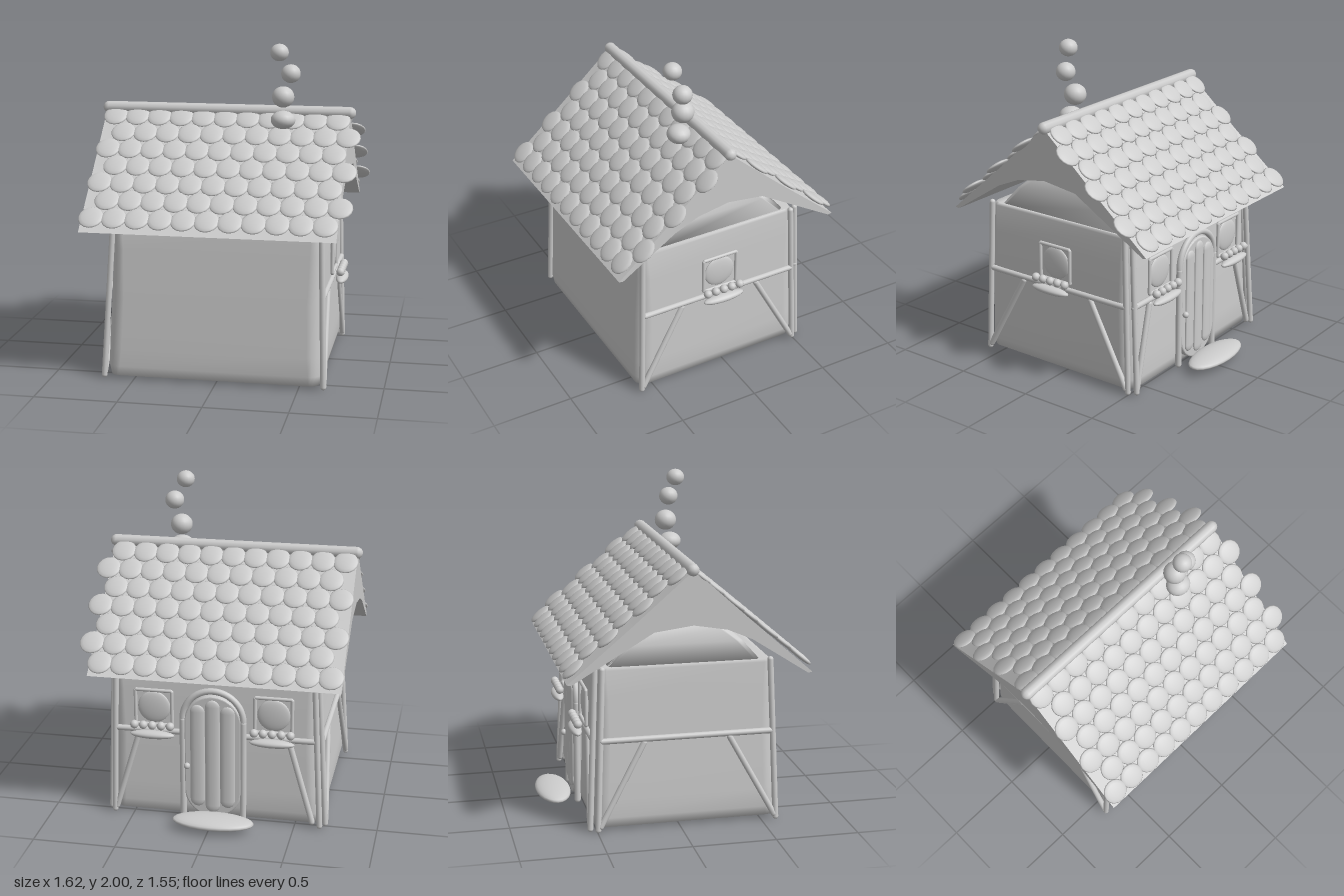
import * as THREE from 'three';

const clay = new THREE.MeshStandardMaterial({ color: 0xcccccc });
clay.name = 'clay grey';

const V = (x, y, z) => new THREE.Vector3(x, y, z);

function add(parent, geometry, name) {
  const mesh = new THREE.Mesh(geometry, clay);
  mesh.name = name;
  parent.add(mesh);
  return mesh;
}

// Round-ended stick between two points
function rod(parent, name, a, b, r = 0.018) {
  const p = V(...a), q = V(...b), d = q.clone().sub(p);
  const mesh = add(parent, new THREE.CapsuleGeometry(r, Math.max(d.length() - r, 0.01), 4, 10), name);
  mesh.position.copy(p).add(q).multiplyScalar(0.5);
  mesh.quaternion.setFromUnitVectors(V(0, 1, 0), d.normalize());
  return mesh;
}

// Sphere stretched to the given radii
function blob(parent, name, pos, radii, w = 18, h = 12) {
  const mesh = add(parent, new THREE.SphereGeometry(1, w, h), name);
  mesh.position.set(...pos);
  mesh.scale.set(...radii);
  return mesh;
}

// Smooth skin through rounded-rectangle sections [y, cx, cz, hx, hz, r]
function loft(sections) {
  const per = 6, n = per * 4, pos = [], index = [];
  const corners = [[1, 1], [-1, 1], [-1, -1], [1, -1]];
  for (const [y, cx, cz, hx, hz, r] of sections) {
    corners.forEach(([sx, sz], c) => {
      for (let i = 0; i < per; i++) {
        const a = (c + i / (per - 1)) * Math.PI / 2;
        pos.push(cx + sx * (hx - r) + r * Math.cos(a), y, cz + sz * (hz - r) + r * Math.sin(a));
      }
    });
  }
  for (let s = 0; s < sections.length - 1; s++) {
    for (let i = 0; i < n; i++) {
      const a = s * n + i, b = s * n + (i + 1) % n;
      index.push(a, a + n, b, b, a + n, b + n);
    }
  }
  // End caps
  const last = (sections.length - 1) * n;
  for (let i = 1; i < n - 1; i++) {
    index.push(0, i, i + 1, last, last + i + 1, last + i);
  }
  const g = new THREE.BufferGeometry();
  g.setAttribute('position', new THREE.Float32BufferAttribute(pos, 3));
  g.setIndex(index);
  g.computeVertexNormals();
  return g;
}

// Framed round window with a flower box, facing +z
function windowBox() {
  const g = new THREE.Group();
  g.name = 'window';
  const w = 0.112, b = 0.6, t = 0.82;
  for (const s of [-1, 1]) rod(g, 'windowFrameSide', [s * w, b, 0.005], [s * w, t, 0.005], 0.011);
  for (const y of [b, t]) rod(g, 'windowFrameRail', [-w, y, 0.005], [w, y, 0.005], 0.011);
  blob(g, 'windowPane', [0, 0.71, -0.005], [0.1, 0.1, 0.018], 24, 12);
  for (let i = -2; i <= 2; i++) blob(g, 'flower', [i * 0.055, 0.612, 0.055], [0.026, 0.026, 0.026], 12, 8);
  blob(g, 'flowerBox', [0, 0.553, 0.056], [0.138, 0.025, 0.037]);
  return g;
}

export function createModel() {
  const model = new THREE.Group();
  model.name = 'cottage';

  // Walls: soft box, narrower at the top
  add(model, loft([
    [0.012, -0.015, 0.045, 0.585, 0.5, 0.05],
    [0.02, -0.015, 0.045, 0.635, 0.55, 0.06],
    [0.08, -0.015, 0.045, 0.65, 0.562, 0.08],
    [0.2, -0.012, 0.045, 0.65, 0.56, 0.09],
    [0.5, -0.006, 0.045, 0.64, 0.55, 0.09],
    [0.8, 0, 0.045, 0.628, 0.535, 0.07],
    [0.97, 0, 0.045, 0.62, 0.525, 0.05],
    [0.985, 0, 0.045, 0.61, 0.515, 0.05],
  ]), 'walls');

  // Attic rising under the roof
  add(model, loft([
    [0.97, 0, 0.04, 0.6, 0.47, 0.03],
    [1.1, 0, 0.045, 0.59, 0.35, 0.04],
    [1.18, 0, 0.05, 0.57, 0.25, 0.05],
    [1.23, 0, 0.05, 0.53, 0.15, 0.05],
    [1.26, 0, 0.05, 0.46, 0.06, 0.04],
  ]), 'attic');

  // Roof: peaked outside, arched underneath; profile in (z, y)
  const profile = [[0.05, 1.575], [-0.3, 1.27], [-0.685, 0.945], [-0.66, 0.94], [-0.39, 1.1], [-0.18, 1.225],
    [0.05, 1.255], [0.25, 1.22], [0.4, 1.155], [0.74, 0.935], [0.765, 0.94], [0.4, 1.26]];
  const roof = new THREE.ExtrudeGeometry(
    new THREE.Shape(profile.map(([z, y]) => new THREE.Vector2(z, y))),
    { depth: 1.51, bevelEnabled: false });
  roof.rotateY(-Math.PI / 2).translate(0.73, 0, 0);
  add(model, roof, 'roof');
  rod(model, 'ridgeRoll', [-0.79, 1.575, 0.045], [0.745, 1.575, 0.045], 0.037);

  // Scale tiles, seven staggered rows on each slope
  const slopes = [[0.1, 0.71], [-0.03, -0.64]];
  slopes.forEach(([zTop, zEave]) => {
    const side = Math.sign(zEave);
    for (let row = 0; row < 7; row++) {
      const t = row / 6, z = zTop + (zEave - zTop) * t, y = 1.532 - 0.512 * t;
      for (let i = 0; i < 11; i++) {
        const x = -0.715 + (row % 2) * 0.072 + i * 0.1375;
        const tile = blob(model, 'roofTile', [x, y, z], [0.076, 0.017, 0.077], 16, 8);
        tile.rotation.x = side * 0.69;
      }
    }
  });

  // Smoke puffs above the roof
  blob(model, 'smokePuff', [0.335, 1.54, 0.16], [0.075, 0.055, 0.07]);
  blob(model, 'smokePuff', [0.33, 1.675, 0.13], [0.068, 0.064, 0.068]);
  blob(model, 'smokePuff', [0.38, 1.82, 0.16], [0.059, 0.056, 0.059]);
  blob(model, 'smokePuff', [0.315, 1.948, 0.19], [0.056, 0.052, 0.056]);

  // Timber frame, mirrored on both side walls
  for (const s of [-1, 1]) {
    const foot = s > 0 ? 0.648 : 0.685, top = 0.622, mid = (foot + top) / 2;
    rod(model, 'frontCornerPost', [s * foot, 0.01, 0.588], [s * top, 0.995, 0.555]);
    rod(model, 'backCornerPost', [s * foot, 0.01, -0.497], [s * top, 0.985, -0.455]);
    rod(model, 'backWallPost', [s * (foot - 0.03), 0.01, -0.54], [s * (top - 0.02), 0.985, -0.495]);
    rod(model, 'sideBeam', [s * mid, 0.555, 0.56], [s * mid, 0.555, -0.475]);
    rod(model, 'sideBrace', [s * mid, 0.54, 0.3], [s * foot, 0.03, 0.58]);
    rod(model, 'sideBrace', [s * mid, 0.54, -0.21], [s * foot, 0.03, -0.485]);
    // Back wall beams and braces beside the door
    rod(model, 'backBeam', [s * 0.19, 0.555, -0.512], [s * 0.62, 0.555, -0.512]);
    rod(model, 'backBrace', [s * 0.46, 0.54, -0.515], [s * 0.61, 0.03, -0.535]);
    // Door posts
    rod(model, 'doorPost', [s * 0.185, 0.02, -0.54], [s * 0.185, 0.66, -0.54], 0.02);
  }

  // Door arch, panel, planks, handle and step
  add(model, new THREE.TorusGeometry(0.185, 0.02, 10, 24, Math.PI), 'doorArch').position.set(0, 0.66, -0.54);
  const door = new THREE.Shape();
  door.absarc(0, 0.64, 0.165, 0, Math.PI);
  door.absarc(0, 0.2, 0.165, Math.PI, Math.PI * 2);
  const panel = new THREE.ExtrudeGeometry(door, {
    depth: 0.03, bevelThickness: 0.01, bevelSize: 0.01, bevelSegments: 3, curveSegments: 20 });
  add(model, panel, 'doorPanel').position.z = -0.545;
  for (const i of [-1, 0, 1]) {
    const h = i ? 0.035 : 0;
    const plank = rod(model, 'doorPlank', [i * 0.092, 0.08 + h, -0.555], [i * 0.092, 0.77 - h, -0.555], 0.045);
    plank.scale.z = 0.3;
  }
  blob(model, 'doorHandle', [0.155, 0.36, -0.57], [0.02, 0.02, 0.02], 12, 8);
  blob(model, 'doorStep', [-0.025, 0.055, -0.673], [0.25, 0.036, 0.108], 24, 12);

  // Windows: two beside the door, one on the left wall
  for (const s of [-1, 1]) {
    const w = windowBox();
    w.position.set(s * 0.365, 0, -0.523);
    w.rotation.y = Math.PI;
    model.add(w);
  }
  const sideWindow = windowBox();
  sideWindow.position.set(0.64, 0, 0.048);
  sideWindow.rotation.y = Math.PI / 2;
  model.add(sideWindow);

  return model;
}
